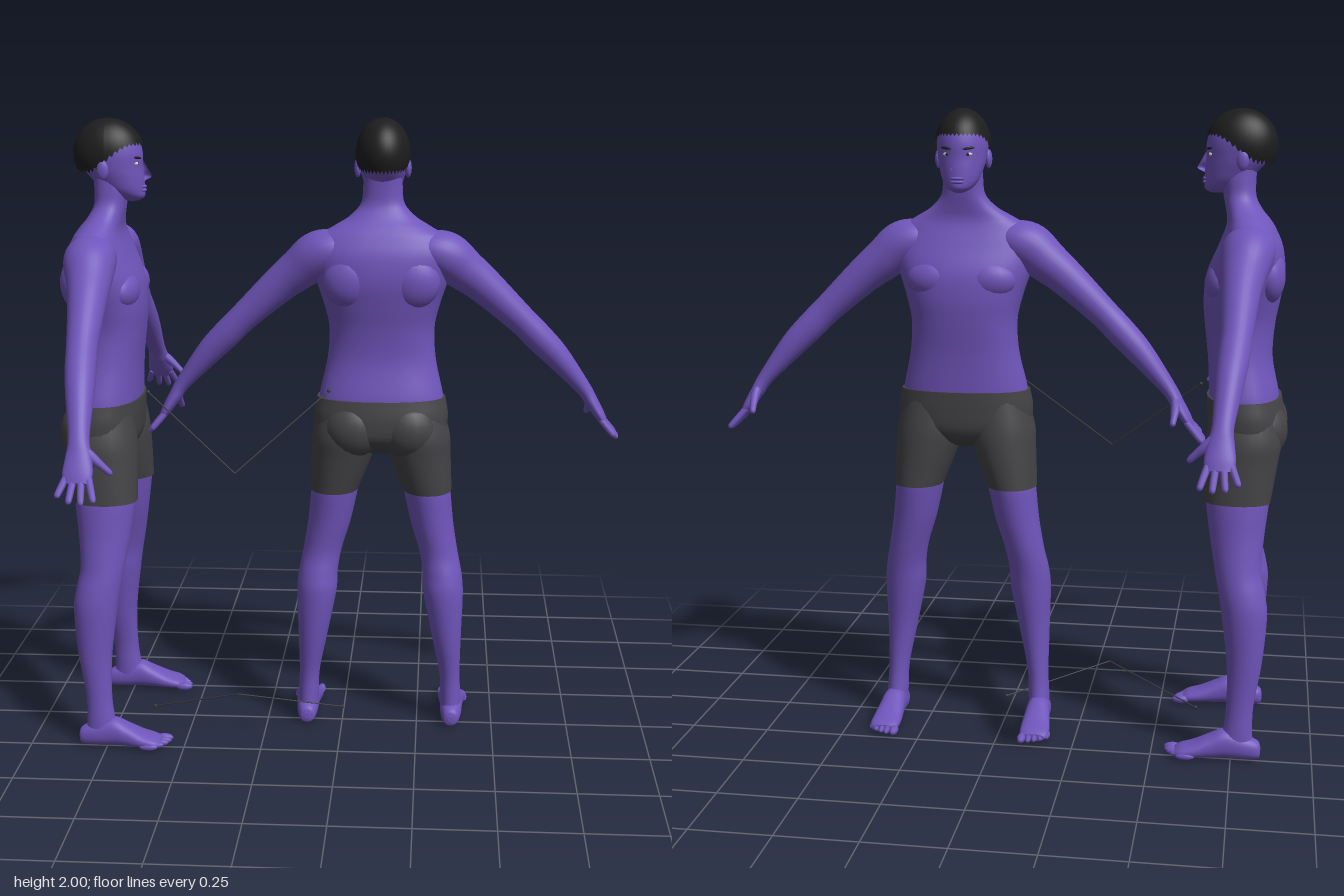
import * as THREE from 'three';

const mat = (name, color) => {
  const m = new THREE.MeshStandardMaterial({ color });
  m.name = name;
  return m;
};
const skin = mat('purple skin', 0x6f55bb);
const cloth = mat('dark grey cloth', 0x444447);
const hairMat = mat('black hair', 0x1d1d1e);
hairMat.side = THREE.DoubleSide;
const white = mat('eye white', 0xc8c8d0);
const wireMat = mat('grey wire', 0x3c3c3e);

const UP = new THREE.Vector3(0, 1, 0), FRONT = new THREE.Vector3(0, 0, 1);

function mesh(name, geo, material, parent) {
  const m = new THREE.Mesh(geo, material);
  m.name = name;
  parent.add(m);
  return m;
}

// Smooth skin through rings [x, y, z, halfWidth, halfDepth]; dir fixes the ring planes, n squares the section
function loft(rings, { dir = null, n = 2, sides = 28, steps = 5, ref = FRONT } = {}) {
  const curve = (f) => new THREE.CatmullRomCurve3(rings.map(f), false, 'catmullrom', 0.5);
  const path = curve((r) => new THREE.Vector3(r[0], r[1], r[2]));
  const size = curve((r) => new THREE.Vector3(r[3], r[4], 0));
  const rows = (rings.length - 1) * steps, pos = [], idx = [];
  const row = (k) => {
    const c = path.getPoint(k / rows), s = size.getPoint(k / rows);
    const t = dir || path.getTangent(k / rows);
    const u = ref.clone().cross(t).normalize(), v = t.clone().cross(u);
    for (let j = 0; j < sides; j++) {
      const a = (j / sides) * Math.PI * 2, ca = Math.cos(a), sa = Math.sin(a);
      const p = c.clone()
        .addScaledVector(u, Math.sign(ca) * Math.abs(ca) ** (2 / n) * s.x)
        .addScaledVector(v, Math.sign(sa) * Math.abs(sa) ** (2 / n) * s.y);
      pos.push(p.x, p.y, p.z);
    }
    return c;
  };
  for (let k = 0; k <= rows; k++) row(k);
  for (let k = 0; k < rows; k++) for (let j = 0; j < sides; j++) {
    const a = k * sides + j, b = k * sides + (j + 1) % sides;
    idx.push(a, b, a + sides, b, b + sides, a + sides);
  }
  // Flat end caps
  for (const k of [0, rows]) {
    const base = pos.length / 3, c = row(k), mid = pos.length / 3;
    pos.push(c.x, c.y, c.z);
    for (let j = 0; j < sides; j++) {
      const a = base + j, b = base + (j + 1) % sides;
      if (k) idx.push(a, b, mid); else idx.push(b, a, mid);
    }
  }
  const g = new THREE.BufferGeometry();
  g.setAttribute('position', new THREE.Float32BufferAttribute(pos, 3));
  g.setIndex(idx);
  g.computeVertexNormals();
  return g;
}

const blob = (x, y, z, rx, ry, rz, seg = 20) =>
  new THREE.SphereGeometry(1, seg, Math.ceil(seg * 0.7)).scale(rx, ry, rz).translate(x, y, z);

// Cap of hair whose lower edge rises from nape to forehead
function hairGeometry() {
  const g = new THREE.SphereGeometry(1, 40, 16), p = g.attributes.position, uv = g.attributes.uv;
  for (let i = 0; i < p.count; i++) {
    const phi = uv.getX(i) * Math.PI * 2;
    const front = THREE.MathUtils.smoothstep(Math.sin(phi), -0.6, 0.8);
    const edge = Math.acos(THREE.MathUtils.lerp(-0.52, 0.24, front));
    const th = (1 - uv.getY(i)) * edge, s = Math.sin(th);
    p.setXYZ(i, -Math.cos(phi) * s * 0.086, 1.89 + Math.cos(th) * 0.11, Math.sin(phi) * s * 0.111 - 0.008);
  }
  g.computeVertexNormals();
  return g;
}

function addHead(f) {
  const head = new THREE.Group();
  head.name = 'head';
  f.add(head);
  mesh('skull', loft([
    [0, 1.745, 0.062, 0.014, 0.018], [0, 1.757, 0.054, 0.036, 0.046], [0, 1.78, 0.036, 0.055, 0.066],
    [0, 1.815, 0.018, 0.067, 0.083], [0, 1.85, 0.003, 0.075, 0.095], [0, 1.9, -0.006, 0.079, 0.103],
    [0, 1.95, -0.01, 0.068, 0.088], [0, 1.985, -0.01, 0.03, 0.04],
  ], { dir: UP }), skin, head);
  mesh('hair', hairGeometry(), hairMat, head);
  mesh('nose', loft([
    [0, 1.875, 0.088, 0.009, 0.008], [0, 1.84, 0.101, 0.011, 0.014],
    [0, 1.82, 0.106, 0.018, 0.018], [0, 1.808, 0.098, 0.011, 0.008],
  ], { dir: UP, sides: 14 }), skin, head);
  for (const y of [1.789, 1.778]) mesh('lip', blob(0, y, 0.096, 0.023, 0.006, 0.012, 14), skin, head);
  for (const s of [-1, 1]) {
    mesh('ear', blob(s * 0.079, 1.845, -0.014, 0.011, 0.03, 0.019, 14), skin, head);
    mesh('eye', blob(s * 0.033, 1.862, 0.083, 0.013, 0.006, 0.008, 12), white, head);
    mesh('pupil', blob(s * 0.032, 1.862, 0.088, 0.005, 0.005, 0.004, 10), hairMat, head);
    const brow = mesh('eyebrow', blob(0, 0, 0, 0.02, 0.004, 0.006, 12), hairMat, head);
    brow.position.set(s * 0.034, 1.88, 0.088);
    brow.rotation.set(0, s * 0.35, s * 0.12);
  }
}

function addTorso(f) {
  mesh('torso', loft([
    [0, 1.08, -0.038, 0.2, 0.108], [0, 1.13, -0.036, 0.198, 0.108], [0, 1.24, -0.022, 0.174, 0.1],
    [0, 1.34, -0.018, 0.168, 0.108], [0, 1.42, -0.022, 0.185, 0.118], [0, 1.5, -0.032, 0.21, 0.12],
    [0, 1.58, -0.044, 0.225, 0.1], [0, 1.635, -0.043, 0.2, 0.078], [0, 1.665, -0.036, 0.155, 0.066],
    [0, 1.695, -0.022, 0.105, 0.056], [0, 1.735, -0.008, 0.069, 0.05], [0, 1.79, -0.003, 0.062, 0.053],
    [0, 1.85, -0.005, 0.06, 0.055],
  ], { dir: UP, n: 2.3, sides: 40 }), skin, f);
  mesh('shortsHips', loft([
    [0, 1.122, -0.038, 0.206, 0.116], [0, 1.06, -0.044, 0.215, 0.12], [0, 1.0, -0.045, 0.2, 0.114],
    [0, 0.96, -0.04, 0.11, 0.085], [0, 0.94, -0.04, 0.05, 0.05],
  ], { dir: UP.clone().negate(), n: 2.3, sides: 40 }), cloth, f);
  for (const s of [-1, 1]) {
    mesh('chest', blob(s * 0.085, 1.475, 0.035, 0.09, 0.065, 0.056), skin, f);
    mesh('shoulderBlade', blob(s * 0.1, 1.5, -0.1, 0.085, 0.085, 0.053), skin, f);
    mesh('shortsSeat', blob(s * 0.088, 1.025, -0.095, 0.095, 0.095, 0.08), cloth, f);
  }
}

function addArm(f, s) {
  const arm = new THREE.Group();
  arm.name = s > 0 ? 'leftArm' : 'rightArm';
  f.add(arm);
  const limb = (name, rings, opt) => mesh(name, loft(rings.map((r) => [s * r[0], ...r.slice(1)]), opt), skin, arm);
  limb('armAndPalm', [
    [0.1, 1.6, -0.042, 0.045, 0.06], [0.155, 1.592, -0.042, 0.066, 0.078], [0.205, 1.572, -0.038, 0.076, 0.08],
    [0.262, 1.528, -0.03, 0.067, 0.069], [0.328, 1.475, -0.024, 0.058, 0.058], [0.44, 1.372, -0.018, 0.047, 0.047],
    [0.5, 1.312, -0.012, 0.046, 0.046], [0.56, 1.25, -0.004, 0.041, 0.042], [0.648, 1.145, 0.008, 0.025, 0.031],
    [0.678, 1.098, 0.012, 0.021, 0.038], [0.705, 1.055, 0.013, 0.017, 0.044], [0.722, 1.028, 0.013, 0.011, 0.038],
  ]);
  // Four spread fingers, then the thumb
  for (let i = 0; i < 4; i++) {
    const z0 = 0.013 + (i - 1.5) * 0.021, z1 = 0.013 + (i - 1.5) * 0.036;
    const len = [0.78, 1, 1.05, 0.95][i];
    const at = (t, r) => [0.708 + 0.055 * t * len, 1.045 - 0.064 * t * len, z0 + (z1 - z0) * t, r, r];
    limb('finger', [at(0, 0.011), at(0.5, 0.0105), at(0.9, 0.009), at(1, 0.003)], { sides: 10, steps: 3 });
  }
  limb('thumb', [
    [0.67, 1.115, 0.025, 0.014, 0.016], [0.674, 1.088, 0.055, 0.014, 0.015], [0.672, 1.065, 0.08, 0.011, 0.011],
    [0.669, 1.047, 0.098, 0.009, 0.009], [0.668, 1.042, 0.103, 0.003, 0.003],
  ], { sides: 12, steps: 3, ref: UP });
}

function addLeg(f, s) {
  const leg = new THREE.Group();
  leg.name = s > 0 ? 'leftLeg' : 'rightLeg';
  f.add(leg);
  const side = (rings) => rings.map((r) => [s * r[0], ...r.slice(1)]);
  const down = UP.clone().negate();
  mesh('shortsLeg', loft(side([
    [0.108, 1.09, -0.04, 0.09, 0.1], [0.115, 1.0, -0.042, 0.107, 0.115], [0.126, 0.93, -0.036, 0.1, 0.112],
    [0.152, 0.81, -0.027, 0.079, 0.102],
  ]), { dir: down, n: 2.1 }), cloth, leg);
  mesh('bareLeg', loft(side([
    [0.145, 0.84, -0.028, 0.076, 0.097], [0.152, 0.8, -0.028, 0.076, 0.096], [0.168, 0.7, -0.03, 0.07, 0.083],
    [0.191, 0.6, -0.036, 0.063, 0.071], [0.204, 0.53, -0.05, 0.064, 0.071], [0.209, 0.46, -0.06, 0.065, 0.07],
    [0.222, 0.31, -0.064, 0.048, 0.054], [0.234, 0.18, -0.055, 0.034, 0.042], [0.238, 0.1, -0.05, 0.034, 0.045],
    [0.24, 0.04, -0.045, 0.034, 0.055],
  ]), { dir: down }), skin, leg);
  mesh('foot', loft(side([
    [0.24, 0.035, -0.122, 0.008, 0.01], [0.24, 0.037, -0.113, 0.025, 0.028], [0.241, 0.045, -0.07, 0.035, 0.038],
    [0.242, 0.054, -0.01, 0.038, 0.046], [0.243, 0.044, 0.035, 0.042, 0.037], [0.245, 0.031, 0.085, 0.047, 0.025],
    [0.246, 0.024, 0.125, 0.046, 0.018], [0.246, 0.02, 0.145, 0.036, 0.011],
  ]), { dir: FRONT, ref: UP, n: 2.3 }), skin, leg);
  // Toes shrink towards the outside
  for (let i = 0; i < 5; i++) {
    const w = i ? 0.0095 : 0.014;
    mesh('toe', blob(s * (0.209 + i * 0.0185 + (i ? 0.004 : 0)), 0.018, 0.15 - i * i * 0.0025,
      w, i ? 0.011 : 0.014, 0.03, 12), skin, leg);
  }
}

function figure(name, x, z, turn) {
  const f = new THREE.Group();
  f.name = name;
  addHead(f);
  addTorso(f);
  for (const s of [-1, 1]) {
    addArm(f, s);
    addLeg(f, s);
  }
  f.position.set(x, 0, z);
  f.rotation.y = turn;
  return f;
}

// Thin bent wire with a bead at each end
function wire(name, points) {
  const g = new THREE.Group(), v = points.map((p) => new THREE.Vector3(...p));
  g.name = name;
  for (let i = 0; i + 1 < v.length; i++) {
    const d = v[i + 1].clone().sub(v[i]);
    const m = mesh('strand', new THREE.CylinderGeometry(0.0022, 0.0022, d.length(), 6), wireMat, g);
    m.position.copy(v[i]).addScaledVector(d, 0.5);
    m.quaternion.setFromUnitVectors(UP, d.normalize());
  }
  for (const e of [points[0], points.at(-1)]) mesh('bead', blob(...e, 0.006, 0.006, 0.006, 8), wireMat, g);
  return g;
}

export function createModel() {
  const model = new THREE.Group();
  model.name = 'twoFigures';
  model.add(figure('sidewaysFigure', -0.72, 0, Math.PI / 2));
  model.add(figure('turnedFigure', 0.124, -0.07, Math.PI));
  model.add(wire('upperWire', [[-0.62, 1.14, 0.045], [-0.33, 0.907, 0.163], [-0.04, 1.15, 0.04]]));
  model.add(wire('lowerWire', [[-0.627, 0.055, 0.045], [-0.33, 0.157, 0.163], [0.002, 0.063, 0.03]]));
  return model;
}
